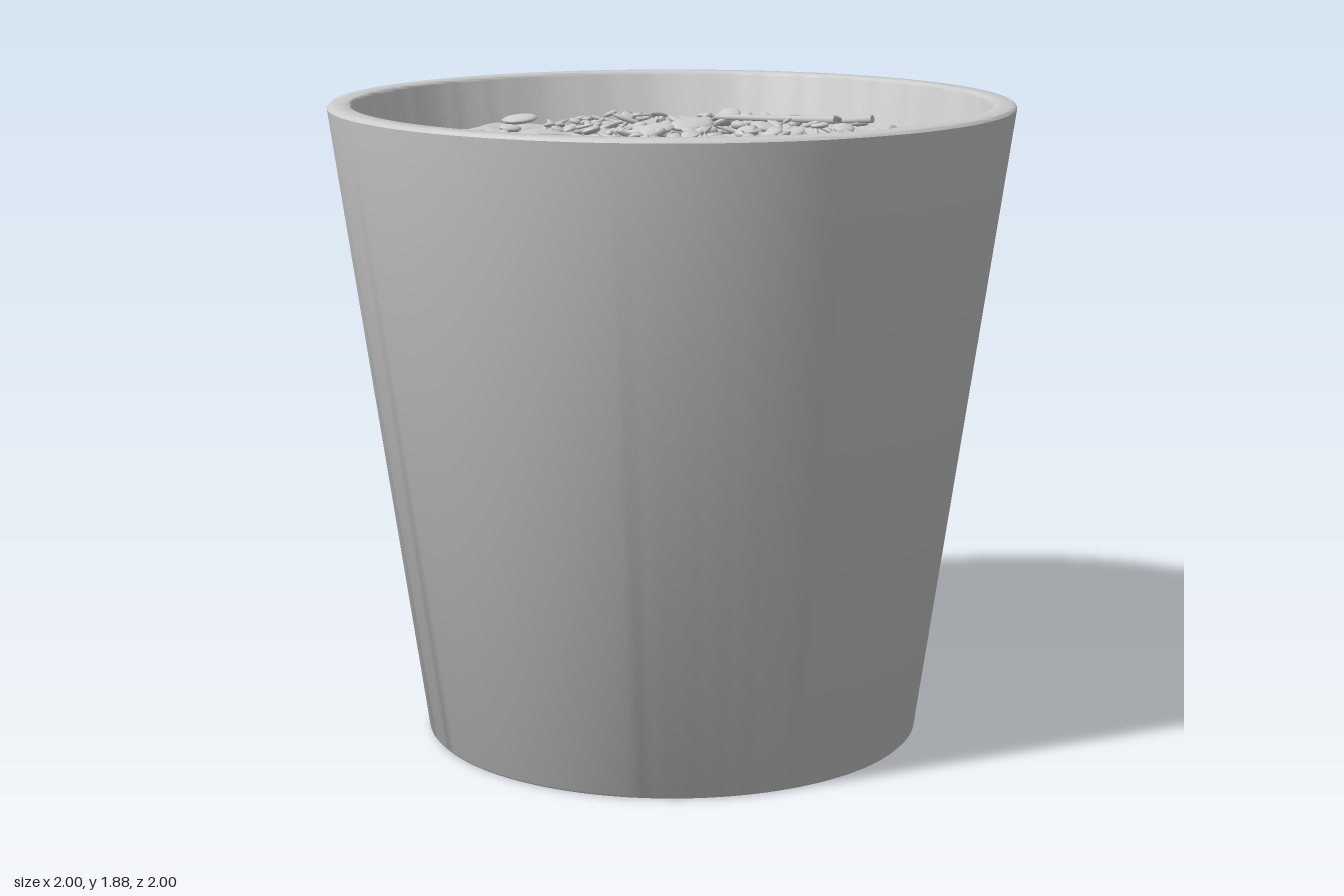
import * as THREE from 'three';
import { mergeGeometries, mergeVertices, toCreasedNormals } from 'three/addons/utils/BufferGeometryUtils.js';

const SOIL_Y = 1.715, SOIL_R = 0.915;

// Seeded random numbers
function makeRandom(seed) {
  return () => {
    seed = (seed * 1664525 + 1013904223) >>> 0;
    return seed / 4294967296;
  };
}

// Smooth value noise in 0..1
function noise(x, z) {
  const hash = (i, j) => {
    const s = Math.sin(i * 127.1 + j * 311.7) * 43758.5453;
    return s - Math.floor(s);
  };
  const i = Math.floor(x), j = Math.floor(z);
  const u = THREE.MathUtils.smoothstep(x - i, 0, 1), v = THREE.MathUtils.smoothstep(z - j, 0, 1);
  const a = THREE.MathUtils.lerp(hash(i, j), hash(i + 1, j), u);
  const b = THREE.MathUtils.lerp(hash(i, j + 1), hash(i + 1, j + 1), u);
  return THREE.MathUtils.lerp(a, b, v);
}

// Soil height: broad mounds plus fine crumbs
function soilHeight(x, z) {
  return SOIL_Y + 0.045 * (noise(x * 4 + 9, z * 4 + 5) - 0.5)
    + 0.03 * (noise(x * 11, z * 17) - 0.5) + 0.02 * (noise(x * 24, z * 40) - 0.5);
}

export function createModel() {
  const group = new THREE.Group();
  const material = new THREE.MeshStandardMaterial({ color: 0xcccccc, roughness: 0.9 });
  const add = (name, geometry) => {
    const mesh = new THREE.Mesh(geometry, material);
    mesh.name = name;
    group.add(mesh);
  };

  // Tapered hollow pot with slightly bevelled edges
  const profile = [
    [0, 0], [0.727, 0], [0.735, 0.008], [0.999, 1.87], [0.994, 1.877], [0.988, 1.88],
    [0.938, 1.88], [0.932, 1.877], [0.928, 1.87], [0.667, 0.07], [0, 0.07],
  ].map(([r, y]) => new THREE.Vector2(r, y));
  add('pot', toCreasedNormals(new THREE.LatheGeometry(profile, 128), 0.7));

  // Uneven soil surface
  let soil = new THREE.RingGeometry(0.001, SOIL_R, 160, 64);
  soil.rotateX(-Math.PI / 2);
  soil.deleteAttribute('uv');
  soil.deleteAttribute('normal');
  soil = mergeVertices(soil);
  const p = soil.attributes.position;
  for (let i = 0; i < p.count; i++) p.setY(i, soilHeight(p.getX(i), p.getZ(i)));
  soil.computeVertexNormals();
  add('soil', soil);

  // Bark chips and small stones: squashed pebbles scattered over the soil
  const random = makeRandom(7);
  const range = (a, b) => a + (b - a) * random();
  const pebble = new THREE.SphereGeometry(1, 10, 7);
  const matrix = new THREE.Matrix4(), position = new THREE.Vector3();
  const scale = new THREE.Vector3(), rotation = new THREE.Quaternion(), euler = new THREE.Euler();
  const place = (shape, x, y, z, sx, sy, sz, rx, ry, rz) => {
    rotation.setFromEuler(euler.set(rx, ry, rz, 'YXZ'));
    matrix.compose(position.set(x, y, z), rotation, scale.set(sx, sy, sz));
    return shape.clone().applyMatrix4(matrix);
  };
  const chips = [];
  while (chips.length < 800) {
    const angle = range(0, Math.PI * 2), r = 0.885 * Math.sqrt(random());
    const x = r * Math.cos(angle), z = r * Math.sin(angle);
    if (noise(x * 3.5 + 20, z * 3.5 + 3) < range(0.05, 0.6)) continue;
    const thin = random() < 0.35;
    const length = Math.min(thin ? range(0.03, 0.065) : range(0.018, 0.042), 0.915 - r);
    const width = thin ? range(0.006, 0.01) : length * range(0.5, 0.9);
    chips.push(place(pebble, x, soilHeight(x, z) + range(0.003, 0.022), z,
      length, thin ? width : range(0.007, 0.014), width,
      range(-0.5, 0.5), range(0, Math.PI * 2), range(-0.4, 0.4)));
  }

  // Larger flat chips: x, z, half length, half width, turn
  const largeChips = [
    [-0.35, -0.62, 0.085, 0.06, 1.5], [0.09, -0.35, 0.09, 0.06, 1.4], [0.31, -0.36, 0.06, 0.05, 0.6],
    [-0.76, -0.03, 0.06, 0.045, 0.3], [-0.61, -0.02, 0.08, 0.045, 1.4], [-0.11, -0.01, 0.08, 0.04, 0.1],
    [-0.05, 0.38, 0.075, 0.05, 1.4], [-0.8, -0.31, 0.06, 0.04, 0.5], [0.16, -0.78, 0.08, 0.05, 0.1],
    [0.58, -0.57, 0.065, 0.04, 0.9], [0.45, 0.68, 0.05, 0.04, 1.2], [-0.24, -0.26, 0.06, 0.05, 0.4],
    [0.74, 0.11, 0.06, 0.035, 1.1], [-0.45, 0.45, 0.05, 0.035, 1.3],
  ];
  for (const [x, z, length, width, turn] of largeChips) {
    chips.push(place(pebble, x, soilHeight(x, z) + 0.022, z, length, 0.014, width, 0.15, turn, 0.1));
  }
  add('barkChips', mergeGeometries(chips));

  // Slender twigs: x, z, length, turn, tilt
  const stick = new THREE.CylinderGeometry(0.008, 0.013, 1, 7).rotateZ(Math.PI / 2);
  const twigs = [
    [-0.09, -0.7, 0.42, 0.08, 0.03], [-0.56, 0.33, 0.44, 0.18, 0.05], [0.27, -0.74, 0.22, -0.65, 0.35],
    [0.08, -0.86, 0.18, 0, 0.1], [0.24, -0.83, 0.15, 1.1, 0.2], [-0.16, 0.53, 0.17, -0.9, 0.1],
    [-0.42, 0.24, 0.2, -0.5, 0.12], [0.15, 0.12, 0.2, -0.6, 0.08], [-0.56, 0.6, 0.16, 0.9, 0.15],
    [0.62, 0.3, 0.16, 0.4, 0.1],
  ];
  add('twigs', mergeGeometries(twigs.map(([x, z, length, turn, tilt]) =>
    place(stick, x, soilHeight(x, z) + 0.025, z, length, 1, 1, 0, turn, tilt))));

  return group;
}
